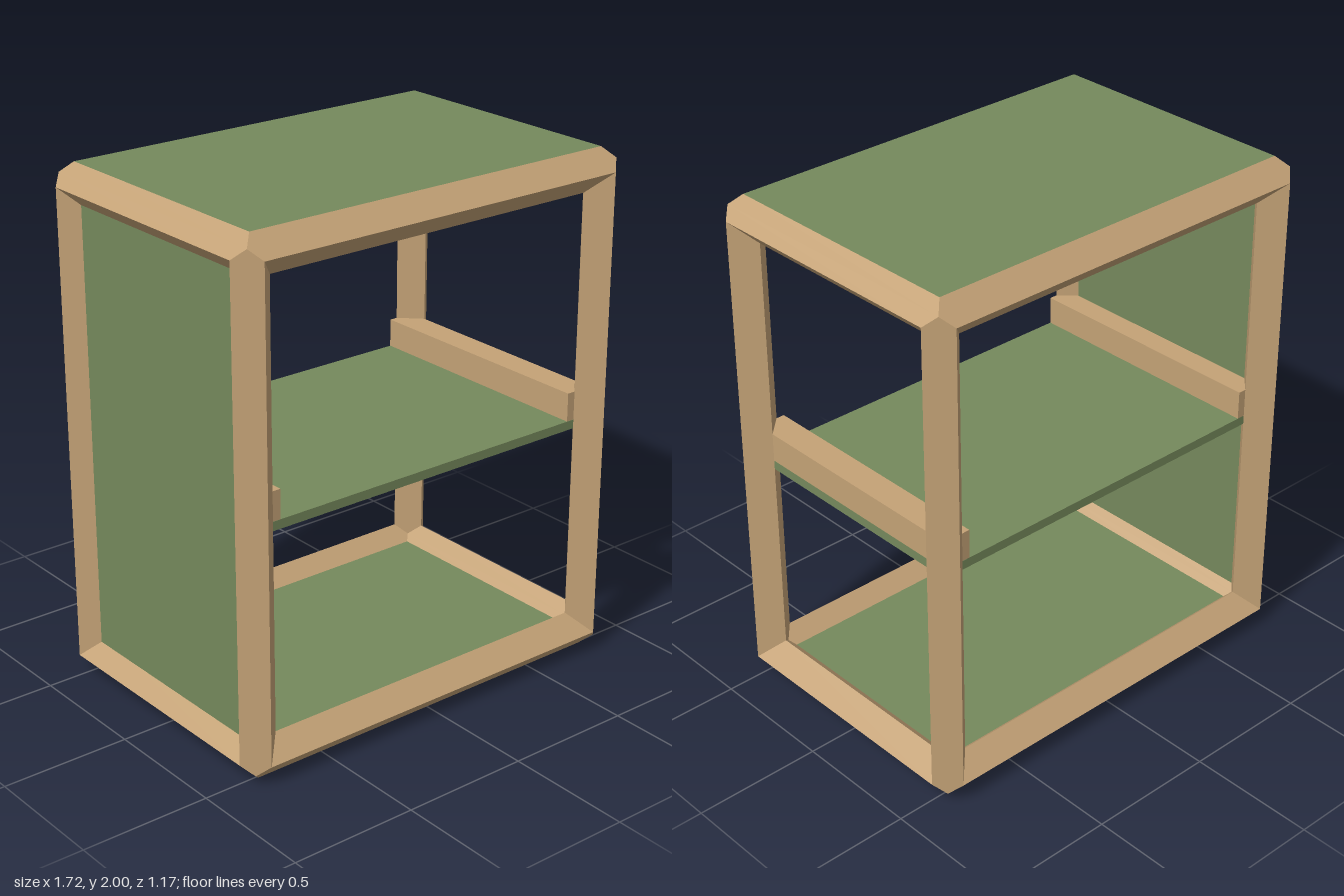
import * as THREE from 'three';

const R = 0.079;                      // half diagonal of the square bars
const HALF = [0.781, 0.921, 0.508];   // half distances between bar centre lines
const MID_Y = 1;
const T = 0.035;                      // board thickness

const wood = new THREE.MeshStandardMaterial({ color: 0xc4a276 });
const green = new THREE.MeshStandardMaterial({ color: 0x75895c });

// Square bar set on its edge, with ends mitred for a three-way corner.
// Each ring entry: offsets along the two cross axes, and end extension.
const RING = [
  [1, 0, 0], [0.5, 0.5, 0.5], [0, 1, 0],
  [-1, 0, -1], [-0.5, -0.5, -0.5], [0, -1, -1],
];

function mitredBar(axis, su, sv) {
  const u = (axis + 1) % 3, v = (axis + 2) % 3;
  const point = ([a, b, e], end) => {
    const p = [0, 0, 0];
    p[axis] = end * (HALF[axis] + e * R);
    p[u] = su * (HALF[u] + a * R);
    p[v] = sv * (HALF[v] + b * R);
    return p;
  };
  const positions = [];
  RING.forEach((r, i) => {
    const next = RING[(i + 1) % RING.length];
    const q = [point(r, -1), point(next, -1), point(next, 1), point(r, 1)];
    if (su * sv < 0) q.reverse();     // keep faces outward on mirrored bars
    positions.push(...q[0], ...q[1], ...q[2], ...q[0], ...q[2], ...q[3]);
  });
  const geometry = new THREE.BufferGeometry();
  geometry.setAttribute('position', new THREE.Float32BufferAttribute(positions, 3));
  geometry.computeVertexNormals();
  return geometry;
}

function box(name, material, size, position) {
  const mesh = new THREE.Mesh(new THREE.BoxGeometry(...size), material);
  mesh.name = name;
  mesh.position.set(...position);
  return mesh;
}

export function createModel() {
  const model = new THREE.Group();
  model.name = 'openShelfUnit';

  // Frame: four bars along each axis
  const frame = new THREE.Group();
  frame.name = 'frame';
  frame.position.y = MID_Y;
  ['widthRail', 'post', 'depthRail'].forEach((name, axis) => {
    for (const su of [-1, 1]) for (const sv of [-1, 1]) {
      const bar = new THREE.Mesh(mitredBar(axis, su, sv), wood);
      bar.name = name;
      frame.add(bar);
    }
  });
  model.add(frame);

  // Top board flush with the frame; bottom and side boards set into the middle of the bars
  const [hx, hy, hz] = HALF;
  const flat = [2 * hx, T, 2 * hz];
  model.add(
    box('topPanel', green, flat, [0, 2 - T / 2, 0]),
    box('bottomPanel', green, flat, [0, MID_Y - hy, 0]),
    box('shelf', green, flat, [0, 0.948, 0]),
    box('rightSidePanel', green, [T, 2 * hy, 2 * hz], [-hx, MID_Y, 0]),
  );

  // Square cleats along both ends of the shelf
  const s = R * Math.SQRT2;
  for (const side of [-1, 1]) {
    model.add(box('shelfCleat', wood, [s, s, 2 * hz], [side * (hx - s / 2), 0.966 + s / 2, 0]));
  }
  return model;
}
